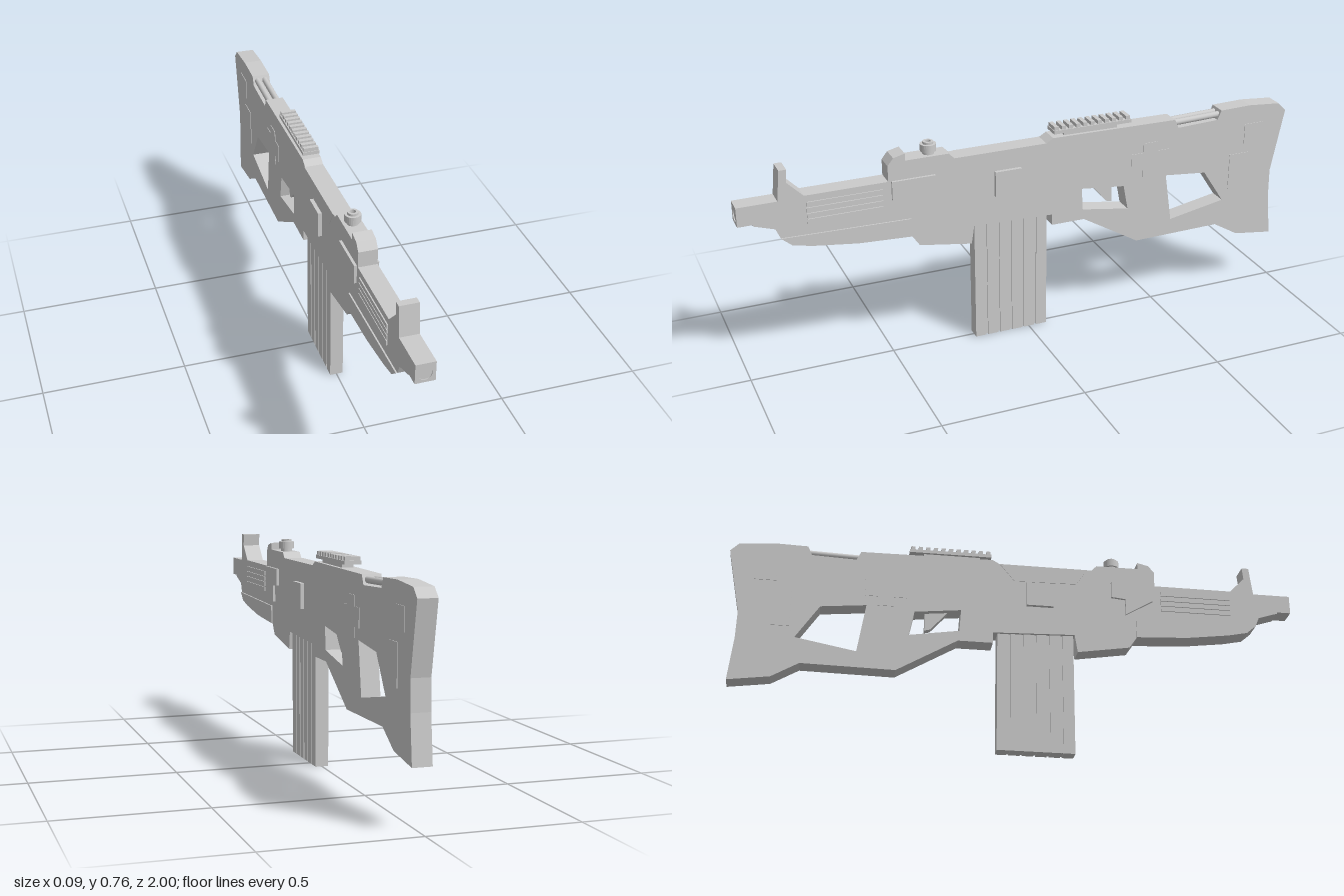
import * as THREE from 'three';

const material = new THREE.MeshStandardMaterial({ color: 0xcccccc, flatShading: true });
const smooth = new THREE.MeshStandardMaterial({ color: 0xcccccc });

const points = (list) => list.map(([z, y]) => new THREE.Vector2(z, y));

export function createModel() {
  const model = new THREE.Group();

  const add = (name, geometry, x = 0, y = 0, z = 0, mat = material) => {
    const mesh = new THREE.Mesh(geometry, mat);
    mesh.name = name;
    mesh.position.set(x, y, z);
    model.add(mesh);
    return mesh;
  };
  const box = (name, w, h, d, x, y, z) => add(name, new THREE.BoxGeometry(w, h, d), x, y, z);

  // A side profile of [z, y] points, thickened from x0 to x1
  const slab = (name, outline, x0, x1, holes = []) => {
    const shape = new THREE.Shape(points(outline));
    holes.forEach((hole) => shape.holes.push(new THREE.Path(points(hole))));
    const geometry = new THREE.ExtrudeGeometry(shape, { depth: x1 - x0, bevelEnabled: false });
    geometry.rotateY(-Math.PI / 2);
    return add(name, geometry, x1);
  };
  // The same raised plate on both flanks
  const plates = (name, outline, reach) => {
    slab(name + 'Left', outline, 0.028, reach);
    slab(name + 'Right', outline, -reach, -0.028);
  };
  const rect = (z0, z1, y0, y1) => [[z0, y0], [z1, y0], [z1, y1], [z0, y1]];

  // Body with front sight, receiver and stock, pierced by two openings
  slab('body', [
    [0.95, 0.65], [0.866, 0.65], [0.855, 0.754], [0.83, 0.754], [0.834, 0.71], [0.78, 0.655],
    [0.50, 0.655], [0.50, 0.71], [0.48, 0.735], [0.44, 0.745], [0.44, 0.72], [0.29, 0.72],
    [0.27, 0.70], [-0.06, 0.70], [-0.085, 0.715], [-0.55, 0.71], [-0.565, 0.678], [-0.72, 0.684],
    [-0.735, 0.717], [-0.85, 0.72], [-0.97, 0.71], [-1, 0.68], [-0.955, 0.45], [-0.957, 0.35],
    [-0.973, 0.195], [-0.83, 0.215], [-0.737, 0.27], [-0.415, 0.265], [-0.205, 0.39],
    [-0.083, 0.39], [-0.083, 0.43], [0.205, 0.44], [0.215, 0.375], [0.40, 0.405], [0.427, 0.445],
    [0.61, 0.455], [0.76, 0.475], [0.83, 0.49], [0.865, 0.52], [0.88, 0.555], [0.95, 0.578],
  ], -0.032, 0.032, [
    [[-0.195, 0.508], [-0.357, 0.49], [-0.375, 0.40], [-0.20, 0.428]],
    [[-0.523, 0.503], [-0.68, 0.487], [-0.76, 0.365], [-0.55, 0.326]],
  ]);

  // Muzzle block with its bore
  const muzzle = new THREE.Shape([[-0.032, 0.583], [0.032, 0.583], [0.032, 0.65], [-0.032, 0.65]]
    .map(([x, y]) => new THREE.Vector2(x, y)));
  muzzle.holes.push(new THREE.Path().absarc(0, 0.613, 0.021, 0, Math.PI * 2, true));
  add('muzzle', new THREE.ExtrudeGeometry(muzzle, { depth: 0.05, bevelEnabled: false, curveSegments: 16 }), 0, 0, 0.95);
  add('bore', new THREE.CylinderGeometry(0.021, 0.021, 0.046, 32).rotateX(Math.PI / 2), 0, 0.613, 0.974, smooth);

  // Trigger
  slab('trigger', [[-0.235, 0.51], [-0.32, 0.50], [-0.32, 0.43], [-0.30, 0.435]], -0.012, 0.012);

  // Lower handguard shell
  slab('handguard', [
    [0.427, 0.445], [0.61, 0.455], [0.76, 0.475], [0.83, 0.49], [0.865, 0.52], [0.427, 0.51],
  ], -0.037, 0.037);

  // Vent slats on both sides of the handguard
  for (let i = 0; i < 4; i++) {
    const y = 0.556 + i * 0.02;
    plates('ventSlat', rect(0.52, 0.775, y, y + 0.016), 0.036);
  }

  // Raised plates on the receiver and stock
  plates('anglePlate', [[0.49, 0.655], [0.49, 0.59], [0.39, 0.53], [0.39, 0.59], [0.34, 0.595], [0.34, 0.655]], 0.041);
  plates('squarePlate', rect(0.035, 0.13, 0.54, 0.63), 0.045);
  plates('crossPlate', [
    [-0.43, 0.505], [-0.43, 0.54], [-0.385, 0.54], [-0.385, 0.605], [-0.43, 0.605], [-0.43, 0.64],
    [-0.485, 0.64], [-0.485, 0.605], [-0.53, 0.605], [-0.53, 0.54], [-0.485, 0.54], [-0.485, 0.505],
  ], 0.034);
  plates('upperStockPlate', rect(-0.91, -0.835, 0.575, 0.65), 0.034);
  plates('lowerStockPlate', rect(-0.855, -0.78, 0.405, 0.54), 0.034);
  slab('portCover', [[0.255, 0.70], [0.215, 0.64], [-0.007, 0.635], [-0.06, 0.70]], -0.034, -0.03);

  // Magazine: a thin core between upright ribs
  const ribs = 6, start = -0.07, pitch = 0.275 / ribs;
  box('magazineCore', 0.037, 0.44, 0.268, 0, 0.222, 0.0675);
  for (let i = 0; i < ribs; i++) {
    box('magazineRib', 0.046, 0.445, pitch - 0.007, 0, 0.2225, start + pitch * (i + 0.5));
  }

  // Top rail with cross teeth
  box('railFoot', 0.04, 0.02, 0.2, 0, 0.719, -0.23);
  box('railBase', 0.058, 0.012, 0.29, 0, 0.732, -0.235);
  const teeth = 11;
  for (let i = 0; i < teeth; i++) {
    box('railTooth', 0.052, 0.014, 0.015, 0, 0.744, -0.1 - i * 0.0268);
  }

  // Two rods lying in the notch of the stock
  for (const x of [-0.014, 0.014]) {
    const rod = add('stockRod', new THREE.CylinderGeometry(0.011, 0.011, 0.19, 16).rotateX(Math.PI / 2), x, 0.696, -0.645, smooth);
    rod.rotation.x = 0.03;
  }

  // Adjustment knob with a narrower neck and hollow centre
  const knob = [[0.02, 0.71], [0.02, 0.73], [0.027, 0.73], [0.027, 0.755], [0.018, 0.755],
    [0.018, 0.763], [0.01, 0.763], [0.01, 0.75], [0, 0.75]];
  add('knob', new THREE.LatheGeometry(points(knob), 24), 0, 0, 0.35);

  return model;
}
